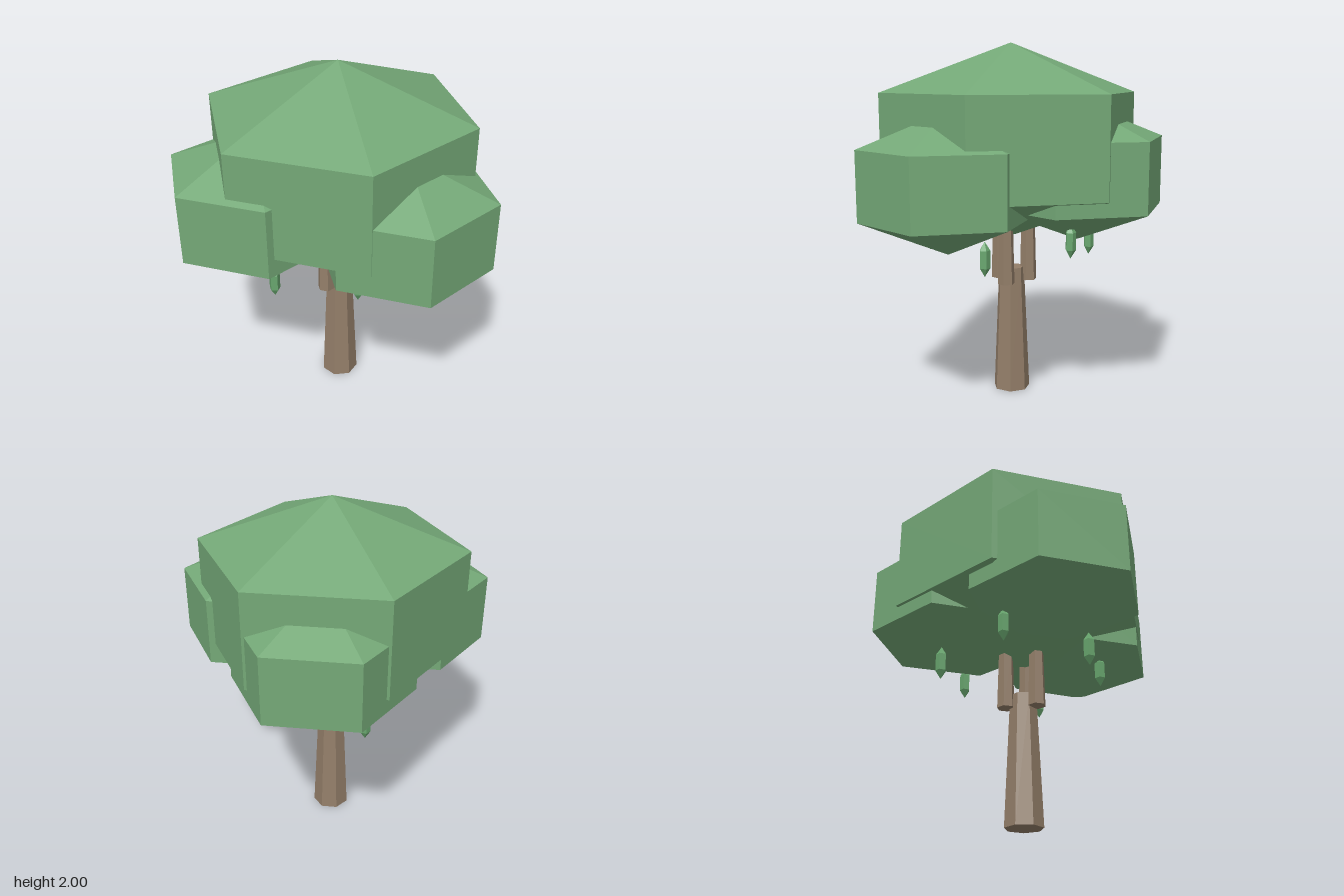
import * as THREE from 'three';

export function createModel() {
  const tree = new THREE.Group();
  tree.name = 'tree';

  const mat = (name, color) => {
    const m = new THREE.MeshStandardMaterial({ color, flatShading: true });
    m.name = name;
    return m;
  };
  const bark = mat('bark', 0x937e69);
  const leaf = mat('leaf', 0x74a877);
  const podGreen = mat('podGreen', 0x68a66e);

  const add = (name, geometry, material, x, y, z) => {
    const mesh = new THREE.Mesh(geometry, material);
    mesh.name = name;
    mesh.position.set(x, y, z);
    tree.add(mesh);
    return mesh;
  };

  // Faceted blob: two rings of equal radius between two points
  const blob = (ringRadius, halfHeight, sides) => {
    const r = ringRadius / Math.sin(Math.PI / 3);
    return new THREE.SphereGeometry(1, sides, 3).scale(r, halfHeight, r);
  };

  // Axis of the trunk
  const cx = -0.022, cz = 0.071;

  // Tapered trunk
  add('trunk', new THREE.CylinderGeometry(0.074, 0.106, 0.73, 7), bark, cx, 0.365, cz);

  // Three upright branches around the trunk top
  const branchGeometry = new THREE.CylinderGeometry(0.041, 0.049, 0.32, 6).rotateY(Math.PI / 2);
  for (let i = 0; i < 3; i++) {
    const a = (i * Math.PI * 2) / 3;
    add('branch' + (i + 1), branchGeometry, bark,
      cx + 0.1 * Math.cos(a), 0.81, cz + 0.1 * Math.sin(a));
  }

  // Canopy: large crown and three lower clumps
  add('crown', blob(0.733, 0.544, 6), leaf, cx, 1.456, cz);
  add('leftClump', blob(0.473, 0.381, 6), leaf, 0.402, 1.255, 0.293);
  add('rightClump', blob(0.471, 0.384, 6), leaf, -0.405, 1.278, 0.332);
  add('backClump', blob(0.495, 0.383, 6), leaf, cx, 1.296, -0.316);

  // Ring of hanging pods at alternating heights
  const podGeometry = blob(0.03, 0.095, 5);
  for (let i = 0; i < 6; i++) {
    const a = (i * Math.PI) / 3;
    add('pod' + (i + 1), podGeometry, podGreen,
      cx + 0.468 * Math.cos(a), i % 2 ? 0.947 : 0.873, cz + 0.468 * Math.sin(a));
  }

  return tree;
}
